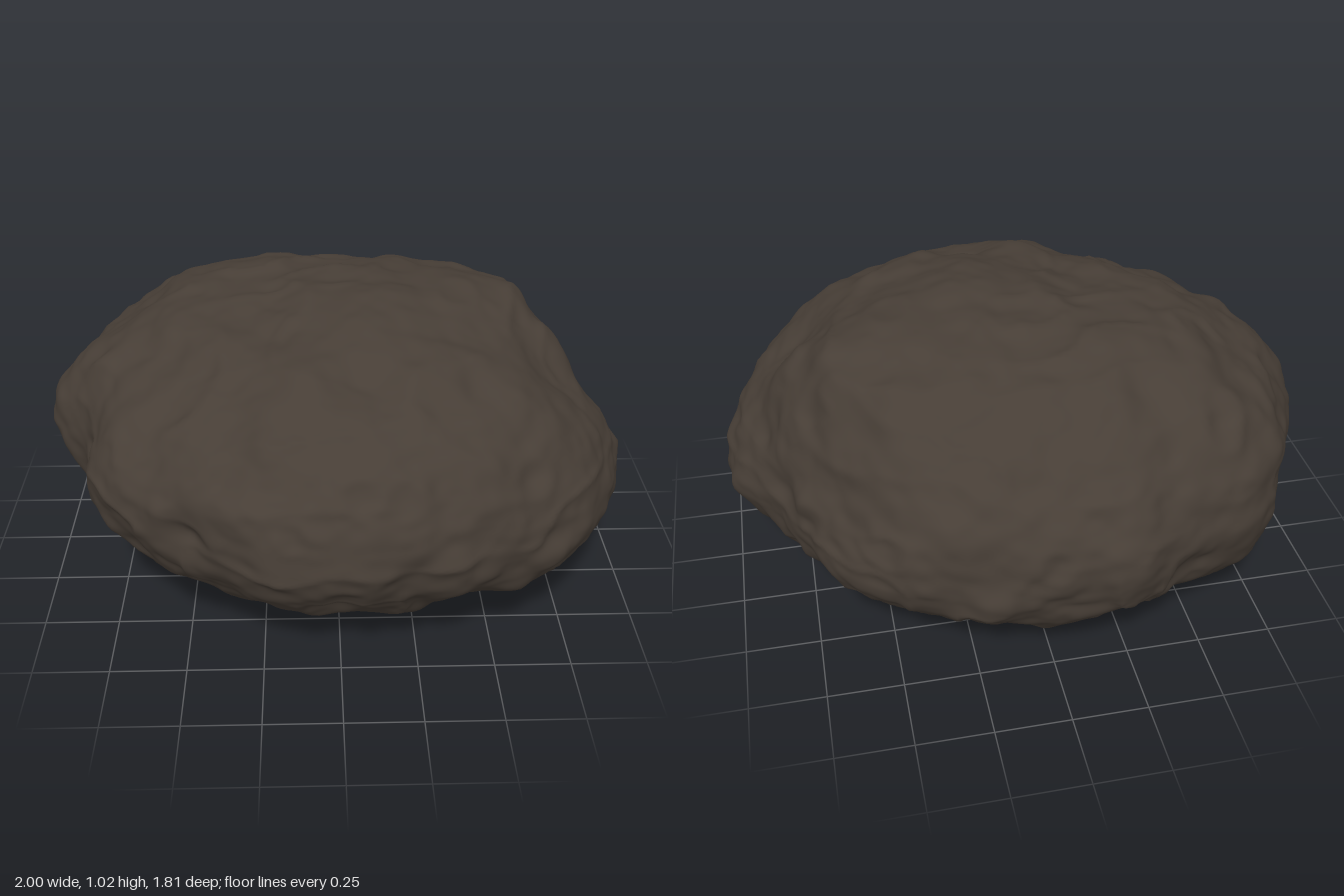
import * as THREE from 'three';
import { mergeVertices } from 'three/addons/utils/BufferGeometryUtils.js';

// Plan outline: radius every 15 degrees, from +x towards +z
const OUTLINE = [1.005, 1.0, 0.985, 0.955, 0.905, 0.885, 0.89, 0.895, 0.87, 0.895, 0.93, 0.905,
  1.005, 0.99, 0.985, 0.99, 0.915, 0.945, 0.905, 0.91, 0.915, 0.91, 0.895, 0.925];
// Height of the widest line, every 45 degrees
const WAIST = [0.4, 0.43, 0.48, 0.51, 0.52, 0.48, 0.42, 0.4];

// Bulges (+) and dents (-): x, y, z, radius, amount
const BUMPS = [
  // raised shoulder and the steep scalloped wall below it
  [0.58, 0.9, -0.2, 0.2, 0.1], [0.45, 0.9, -0.5, 0.18, 0.03],
  [0.78, 0.74, 0.15, 0.18, -0.05], [0.92, 0.62, -0.04, 0.14, -0.045],
  [0.88, 0.62, -0.15, 0.07, -0.02], [0.84, 0.5, -0.31, 0.09, -0.035],
  [0.75, 0.65, -0.47, 0.09, -0.025], [0.55, 0.6, -0.68, 0.09, -0.02],
  // top: off-centre peak, sunken left, full back corner, sloped front corner
  [-0.2, 1.0, 0.1, 0.25, -0.04], [0.13, 1.02, 0.08, 0.15, 0.025],
  [-0.42, 0.9, -0.42, 0.25, 0.04], [-0.64, 0.7, -0.64, 0.22, 0.035],
  [-0.48, 0.87, 0.42, 0.25, -0.04], [0.07, 0.92, 0.47, 0.14, -0.025],
  // underside
  [0, 0.05, -0.5, 0.25, 0.03], [0, 0.2, -0.76, 0.18, 0.02],
  [-0.47, 0.15, -0.47, 0.28, 0.06], [-0.64, 0.25, -0.64, 0.2, 0.035],
  [0.47, 0.13, 0.47, 0.25, 0.02], [-0.85, 0.28, 0, 0.2, -0.025],
  [0.78, 0.17, 0.03, 0.2, 0.035],
  // notches and hollows round the front and left flanks
  [-0.47, 0.5, 0.69, 0.08, -0.06], [-0.85, 0.6, 0.32, 0.08, -0.02],
  [-0.15, 0.62, 0.8, 0.08, -0.02], [-0.02, 0.28, 0.8, 0.09, -0.025],
  [0.42, 0.28, 0.7, 0.08, -0.025], [-0.4, 0.3, 0.72, 0.08, -0.02],
  [0.2, 0.4, 0.82, 0.07, -0.015],
];

function seeded(seed) {
  return () => {
    seed = (seed * 1664525 + 1013904223) >>> 0;
    return seed / 4294967296;
  };
}

// Smooth periodic interpolation round a ring of values
function ring(values, angle) {
  const n = values.length;
  const f = (((angle / (Math.PI * 2)) % 1) + 1) % 1 * n;
  const i = Math.floor(f), t = f - i;
  const at = (k) => values[(k + n) % n];
  const a = at(i - 1), b = at(i), c = at(i + 1), d = at(i + 2);
  return b + 0.5 * t * (c - a + t * (2 * a - 5 * b + 4 * c - d + t * (3 * (b - c) + d - a)));
}

// Value noise in -1..1
function hash(x, y, z) {
  let h = Math.imul(x, 374761393) ^ Math.imul(y, 668265263) ^ Math.imul(z, 873357521);
  h = Math.imul(h ^ (h >>> 13), 1274126177);
  h = Math.imul(h ^ (h >>> 15), 2246822519);
  return ((h ^ (h >>> 16)) >>> 0) / 2147483648 - 1;
}
function noise(x, y, z) {
  const ix = Math.floor(x), iy = Math.floor(y), iz = Math.floor(z);
  const s = (t) => t * t * t * (t * (t * 6 - 15) + 10);
  const u = s(x - ix), v = s(y - iy), w = s(z - iz);
  let sum = 0;
  for (let k = 0; k < 8; k++) {
    const a = k & 1, b = (k >> 1) & 1, c = k >> 2;
    sum += hash(ix + a, iy + b, iz + c) * (a ? u : 1 - u) * (b ? v : 1 - v) * (c ? w : 1 - w);
  }
  return sum;
}

// Rough rock: soft lumps, creased ridges and fine grain
function roughness(p) {
  const lumps = 0.008 * noise(p.x * 5 + 7, p.y * 6 + 3, p.z * 5 + 11);
  const knobs = 0.013 * noise(p.x * 9 + 31, p.y * 11 + 17, p.z * 9 + 5);
  const grain = 0.004 * noise(p.x * 21, p.y * 24, p.z * 21);
  const warp = noise(p.x * 3, p.y * 3, p.z * 3);
  const ridge = 1 - Math.abs(noise(p.x * 5 + warp, p.y * 8 + 40, p.z * 5 - warp));
  return lumps + knobs + grain + 0.013 * (ridge * ridge - 0.6) - 0.009;
}

// Undisturbed body surface in a given direction
function bodyPoint(d, out) {
  const flat = Math.hypot(d.x, d.z);
  const angle = Math.atan2(d.z, d.x);
  const radius = THREE.MathUtils.lerp(0.93, ring(OUTLINE, angle), flat);
  const waist = THREE.MathUtils.lerp(0.48, ring(WAIST, angle), flat);
  const y = waist + d.y * (d.y > 0 ? 1.02 - waist : waist - 0.005);
  return out.set(d.x * radius, y, d.z * radius);
}

function rockGeometry() {
  const ball = new THREE.IcosahedronGeometry(1, 54);
  ball.deleteAttribute('uv');
  ball.deleteAttribute('normal');
  const geometry = mergeVertices(ball, 1e-5);
  const pos = geometry.attributes.position;

  // One shallow crater with a rim, plus scattered small pits
  const rand = seeded(41);
  const pits = [{ at: new THREE.Vector3(0.07, 0.92, 0.5), r: 0.15, depth: 0.02 }];
  for (let i = 0; i < 30; i++) {
    const y = rand() * 1.4 - 0.8, a = rand() * Math.PI * 2, c = Math.sqrt(1 - y * y);
    const at = bodyPoint(new THREE.Vector3(c * Math.cos(a), y, c * Math.sin(a)), new THREE.Vector3());
    pits.push({ at, r: 0.05 + 0.04 * rand(), depth: 0.007 + 0.007 * rand() });
  }

  const d = new THREE.Vector3(), p = new THREE.Vector3(), n = new THREE.Vector3();
  for (let i = 0; i < pos.count; i++) {
    d.fromBufferAttribute(pos, i).normalize();
    bodyPoint(d, p);
    n.set(d.x / 0.93, d.y / 0.51, d.z / 0.93).normalize();
    let push = roughness(p);
    for (const [x, y, z, r, amount] of BUMPS) {
      const q = ((p.x - x) ** 2 + (p.y - y) ** 2 + (p.z - z) ** 2) / (r * r);
      push += amount * Math.exp(-q);
    }
    for (const pit of pits) {
      const q = p.distanceTo(pit.at) / pit.r;
      if (q < 2) push += pit.depth * (0.3 * Math.exp(-(((q - 1) / 0.3) ** 2)) - Math.exp(-((q / 0.7) ** 2)));
    }
    p.addScaledVector(n, push);
    pos.setXYZ(i, p.x, p.y, p.z);
  }

  // Centre the rock and rest it on y = 0
  geometry.computeBoundingBox();
  const mid = geometry.boundingBox.getCenter(new THREE.Vector3());
  geometry.translate(-mid.x, -geometry.boundingBox.min.y, -mid.z);
  geometry.computeVertexNormals();
  return geometry;
}

export function createModel() {
  const group = new THREE.Group();
  group.name = 'boulder';
  const stone = new THREE.MeshStandardMaterial({ color: 0x473e36 });
  stone.name = 'darkStone';
  const rock = new THREE.Mesh(rockGeometry(), stone);
  rock.name = 'rock';
  group.add(rock);
  return group;
}
